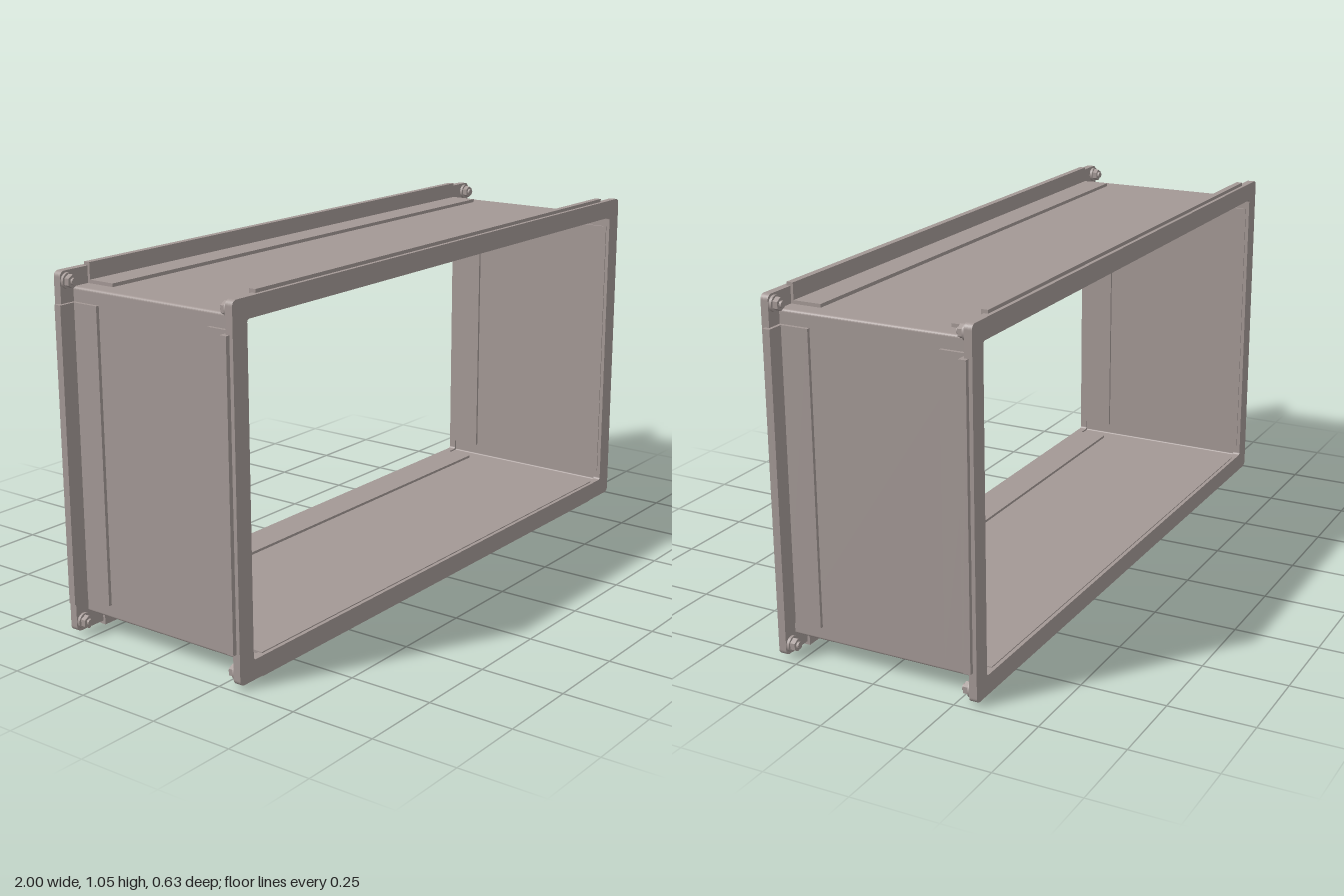
import * as THREE from 'three';

const CY = 0.53; // height of the duct axis

// Rounded rectangle centred on the origin
function roundedRect(target, hx, hy, r) {
  target.moveTo(-hx + r, -hy);
  target.lineTo(hx - r, -hy);
  target.absarc(hx - r, -hy + r, r, -Math.PI / 2, 0, false);
  target.lineTo(hx, hy - r);
  target.absarc(hx - r, hy - r, r, 0, Math.PI / 2, false);
  target.lineTo(-hx + r, hy);
  target.absarc(-hx + r, hy - r, r, Math.PI / 2, Math.PI, false);
  target.lineTo(-hx, -hy + r);
  target.absarc(-hx + r, -hy + r, r, Math.PI, Math.PI * 1.5, false);
  return target;
}

// Rectangular ring extruded from z0 to z1
function ring(outer, inner, z0, z1) {
  const shape = roundedRect(new THREE.Shape(), ...outer);
  shape.holes.push(roundedRect(new THREE.Path(), ...inner));
  const geo = new THREE.ExtrudeGeometry(shape, { depth: z1 - z0, bevelEnabled: false, curveSegments: 5 });
  return geo.translate(0, CY, z0);
}

export function createModel() {
  const model = new THREE.Group();
  const metal = new THREE.MeshStandardMaterial({ color: 0xa39895 });
  metal.name = 'galvanised grey';

  const add = (parent, name, geo) => {
    const mesh = new THREE.Mesh(geo, metal);
    mesh.name = name;
    parent.add(mesh);
    return mesh;
  };
  // Box given by its limits on each axis
  const block = (parent, name, x0, x1, y0, y1, z0, z1) =>
    add(parent, name, new THREE.BoxGeometry(x1 - x0, y1 - y0, z1 - z0)
      .translate((x0 + x1) / 2, (y0 + y1) / 2, (z0 + z1) / 2));

  // Thin-walled duct
  add(model, 'ductWalls', ring([0.94, 0.469, 0.008], [0.936, 0.465, 0.005], -0.3, 0.3));

  for (const end of [1, -1]) {
    const flange = new THREE.Group();
    flange.name = end > 0 ? 'frontFlange' : 'backFlange';
    if (end < 0) flange.rotation.y = Math.PI;
    model.add(flange);

    // Flat frame at the duct mouth
    add(flange, 'frame', ring([0.987, 0.517, 0.016], [0.931, 0.46, 0.008], 0.29, 0.313));

    for (const s of [1, -1]) {
      const span = (a, b) => [Math.min(s * a, s * b), Math.max(s * a, s * b)];
      const spanY = (a, b) => span(a, b).map((v) => v + CY);

      // Angle strips along top and bottom, outside and inside
      block(flange, 'longStrip', -0.885, 0.885, ...spanY(0.468, 0.479), 0.197, 0.302);
      block(flange, 'longLip', -0.885, 0.885, ...spanY(0.468, 0.527), 0.282, 0.302);
      block(flange, 'longInnerStrip', -0.885, 0.885, ...spanY(0.457, 0.466), 0.197, 0.302);

      // Angle strips along both sides, outside and inside
      block(flange, 'sideStrip', ...span(0.939, 0.95), 0.102, 0.958, 0.197, 0.302);
      block(flange, 'sideLip', ...span(0.939, 1), 0.102, 0.958, 0.28, 0.302);
      block(flange, 'sideInnerStrip', ...span(0.928, 0.937), 0.102, 0.958, 0.197, 0.302);

      // Corner bolts on the inner face of the frame
      for (const t of [1, -1]) {
        const bolt = new THREE.Group();
        bolt.name = 'cornerBolt';
        bolt.position.set(s * 0.962, CY + t * 0.489, 0.29);
        bolt.rotation.x = -Math.PI / 2;
        flange.add(bolt);
        add(bolt, 'washer', new THREE.CylinderGeometry(0.023, 0.023, 0.008, 20).translate(0, 0.004, 0));
        const head = add(bolt, 'boltHead', new THREE.CylinderGeometry(0.019, 0.019, 0.016, 6).toNonIndexed());
        head.geometry.computeVertexNormals();
        head.position.y = 0.015;
        add(bolt, 'boltTip', new THREE.CylinderGeometry(0.01, 0.01, 0.008, 14).translate(0, 0.026, 0));
      }
    }
  }
  return model;
}
